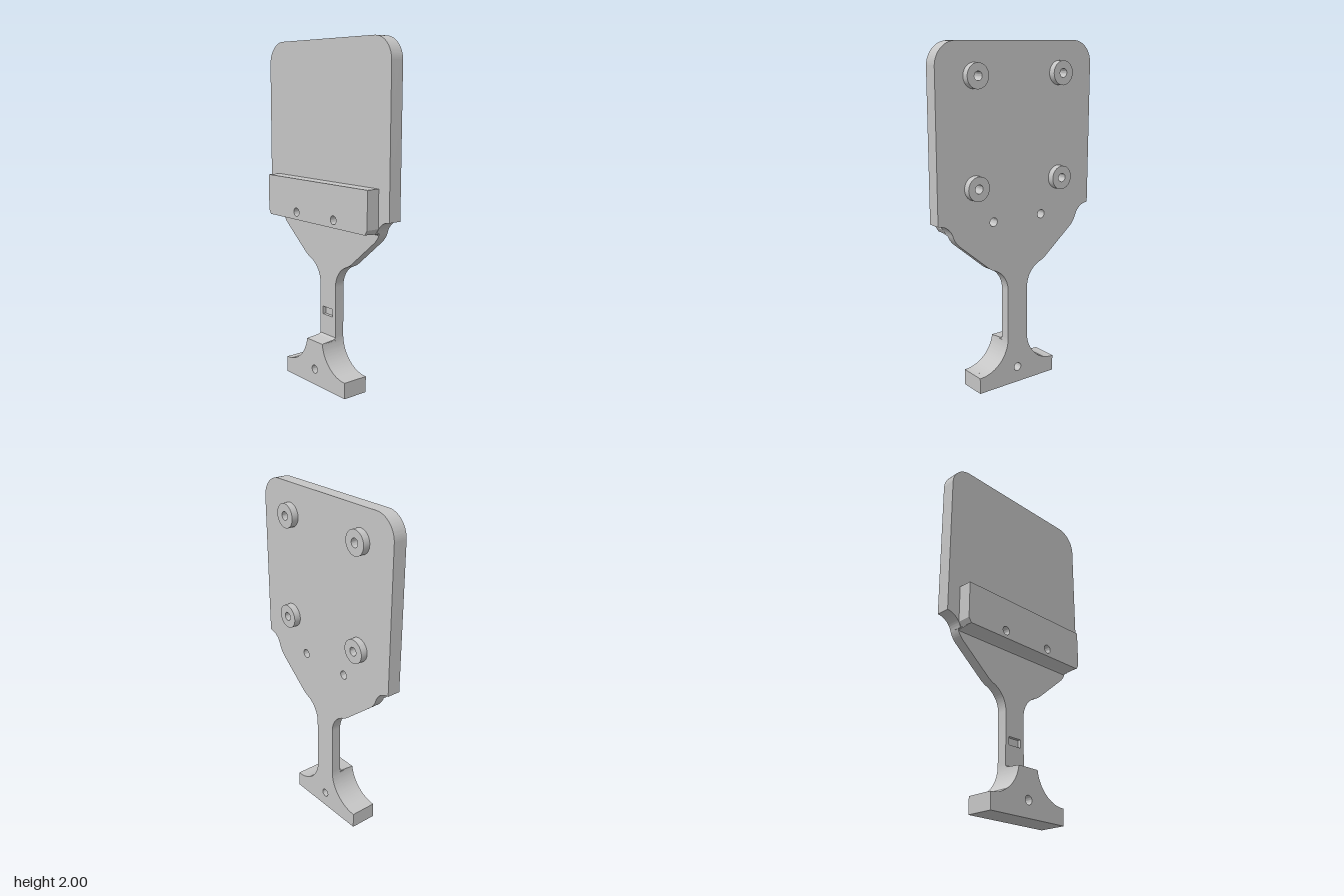
import * as THREE from 'three';
import { toCreasedNormals } from 'three/addons/utils/BufferGeometryUtils.js';

const BACK = -0.06, NECK = 0, PLATE = 0.02, FRONT = 0.1;
const PI = Math.PI;

export function createModel() {
  const group = new THREE.Group();
  const grey = new THREE.MeshStandardMaterial({ color: 0xc5c5c5 });
  grey.name = 'light grey';

  // Mirrors the right half of an outline into a closed shape
  function mirrored(draw) {
    const path = new THREE.Path();
    draw(path);
    const half = path.getPoints(20);
    const other = half.map(p => new THREE.Vector2(-p.x, p.y)).reverse();
    return new THREE.Shape([...half, ...other]);
  }

  function addHole(shape, x, y, r = 0.025) {
    shape.holes.push(new THREE.Path().absarc(x, y, r, 0, PI * 2, true));
  }

  function slab(name, shape, z0, z1) {
    const geo = new THREE.ExtrudeGeometry(shape, { depth: z1 - z0, bevelEnabled: false, curveSegments: 20 });
    geo.translate(0, 0, z0);
    const mesh = new THREE.Mesh(toCreasedNormals(geo, 0.5), grey);
    mesh.name = name;
    group.add(mesh);
  }

  // Foot with concave shoulders, up to the given end angle
  const footOutline = (p, end) => {
    p.moveTo(0.273, 0);
    p.lineTo(0.273, 0.095);
    p.absarc(0.27, 0.295, 0.2, -PI / 2, end, true);
  };
  // Scooped shoulder and rounded top of the plate
  const plateOutline = p => {
    p.lineTo(0.438, 0.965);
    p.absarc(0.533, 0.94, 0.098, 2.883, PI / 2, true);
    p.lineTo(0.533, 1.87);
    p.absarc(0.403, 1.87, 0.13, 0, PI / 2, false);
  };

  const bossSpots = [];
  for (const x of [-0.293, 0.293]) for (const y of [1.22, 1.82]) bossSpots.push([x, y]);
  const addBoltHoles = shape => [-0.17, 0.17].forEach(x => addHole(shape, x, 1.013));

  // Full silhouette: foot, neck, flare and plate
  const body = mirrored(p => {
    footOutline(p, PI);
    p.lineTo(0.07, 0.59);
    p.absarc(0.216, 0.59, 0.146, PI, 1.9, true);
    p.quadraticCurveTo(0.195, 0.74, 0.215, 0.757);
    p.lineTo(0.395, 0.905);
    p.quadraticCurveTo(0.425, 0.93, 0.438, 0.965);
    plateOutline(p);
  });
  addHole(body, 0, 0.095);
  addBoltHoles(body);
  bossSpots.forEach(([x, y]) => addHole(body, x, y));
  body.holes.push(new THREE.Path([[-0.045, 0.405], [-0.045, 0.452], [0.045, 0.452], [0.045, 0.405]]
    .map(c => new THREE.Vector2(...c))));
  slab('body', body, BACK, NECK);

  // Floor of the shallow slot in the neck
  const floor = new THREE.Mesh(new THREE.BoxGeometry(0.09, 0.047, 0.04), grey);
  floor.name = 'slotFloor';
  floor.position.set(0, 0.4285, -0.04);
  group.add(floor);

  // Thicker front of the plate
  const face = mirrored(p => {
    p.moveTo(0.43, 0.965);
    plateOutline(p);
  });
  addBoltHoles(face);
  slab('plateFace', face, NECK, PLATE);

  // Ledge block across the plate
  const ledge = mirrored(p => {
    p.moveTo(0.432, 0.968);
    p.lineTo(0.45, 0.995);
    p.lineTo(0.45, 1.21);
  });
  addBoltHoles(ledge);
  slab('ledge', ledge, PLATE, FRONT);

  // Front thickness of the foot
  const foot = mirrored(p => footOutline(p, -PI + 0.135));
  addHole(foot, 0, 0.095);
  slab('foot', foot, NECK, FRONT);

  // Sloped transitions, drawn as (z, y) profiles and extruded across x
  function wedge(name, width, profile) {
    const shape = new THREE.Shape(profile.map(([z, y]) => new THREE.Vector2(-z, y)));
    const geo = new THREE.ExtrudeGeometry(shape, { depth: width, bevelEnabled: false });
    geo.translate(0, 0, -width / 2);
    geo.rotateY(PI / 2);
    const mesh = new THREE.Mesh(toCreasedNormals(geo, 0.8), grey);
    mesh.name = name;
    group.add(mesh);
  }
  wedge('footSlope', 0.141, [[0, 0.266], [FRONT, 0.268], [0.02, 0.275], [0.007, 0.278], [0, 0.285]]);
  wedge('ledgeSlope', 0.862, [[0, 0.97], [FRONT, 0.969], [0.02, 0.963], [0.007, 0.961], [0, 0.955]]);

  // Ring-shaped bosses on the back
  for (const [x, y] of bossSpots) {
    const ring = new THREE.Shape().absarc(x, y, 0.069, 0, PI * 2, false);
    addHole(ring, x, y);
    slab('boss', ring, -0.1, BACK);
  }

  return group;
}
